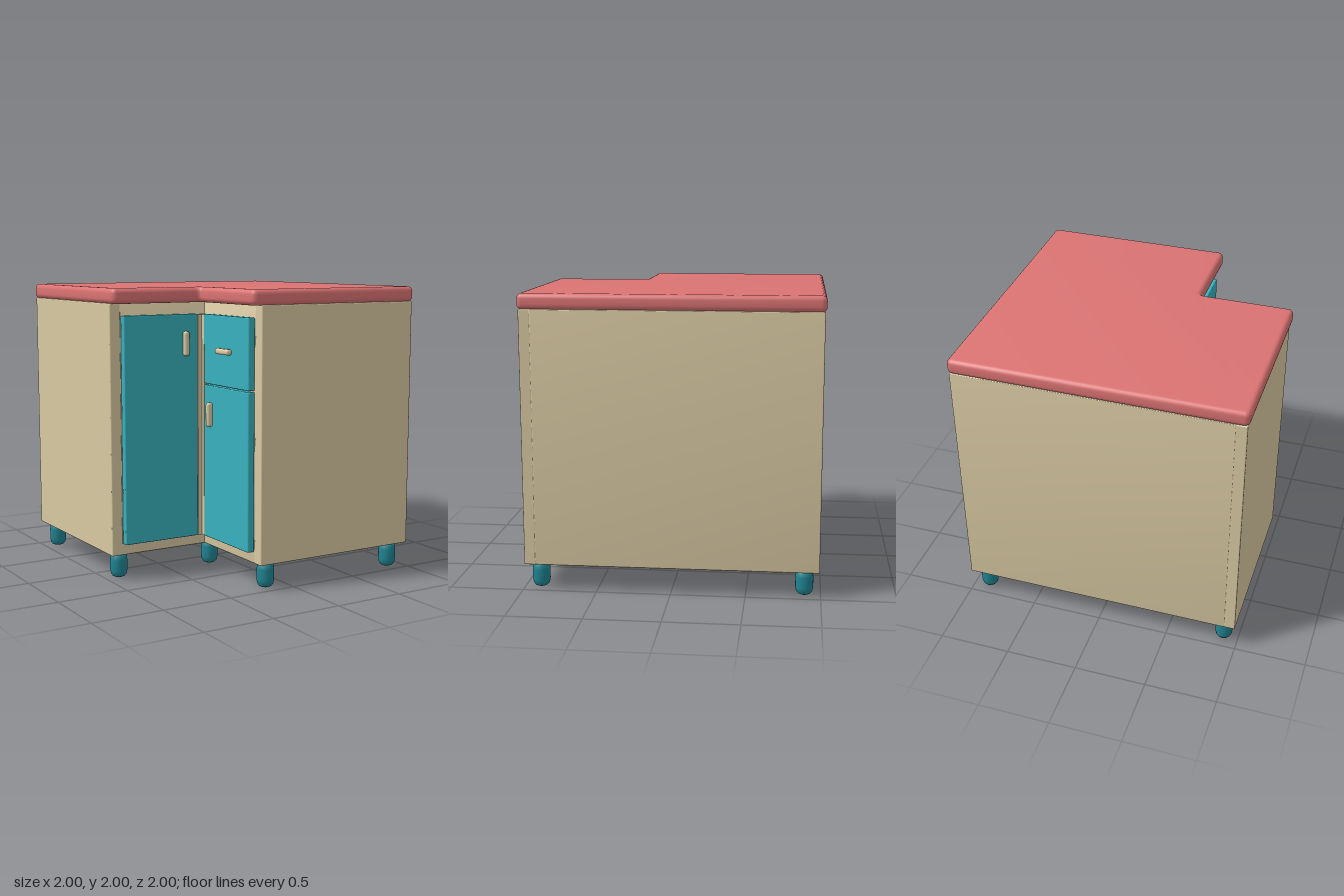
import * as THREE from 'three';
import { toCreasedNormals } from 'three/addons/utils/BufferGeometryUtils.js';
import { RoundedBoxGeometry } from 'three/addons/geometries/RoundedBoxGeometry.js';

const paint = (name, color) => {
  const m = new THREE.MeshStandardMaterial({ color });
  m.name = name;
  return m;
};

// L-shaped slab with softened edges; the notch is at the front on the -x side
function lSlab({ x0, x1, z0, z1, nx, nz, y0, y1, bevel, outerR, innerR }) {
  const b = bevel;
  const pts = [[x0 + b, z0 + b], [x1 - b, z0 + b], [x1 - b, z1 - b],
    [nx + b, z1 - b], [nx + b, nz - b], [x0 + b, nz - b]].map(p => new THREE.Vector2(...p));
  const shape = new THREE.Shape();
  pts.forEach((p, i) => {
    const r = i === 4 ? innerR : outerR;
    const toward = q => p.clone().add(q.clone().sub(p).setLength(r));
    const start = toward(pts[(i + 5) % 6]);
    const end = toward(pts[(i + 1) % 6]);
    if (i === 0) shape.moveTo(start.x, start.y);
    else shape.lineTo(start.x, start.y);
    shape.quadraticCurveTo(p.x, p.y, end.x, end.y);
  });
  shape.closePath();
  const geo = new THREE.ExtrudeGeometry(shape, {
    depth: y1 - y0 - 2 * b, bevelEnabled: true, bevelSize: b, bevelThickness: b,
    bevelSegments: 5, curveSegments: 6,
  });
  geo.rotateX(Math.PI / 2).translate(0, y1 - b, 0);
  return toCreasedNormals(geo, 0.7);
}

export function createModel() {
  const group = new THREE.Group();
  const cream = paint('cream', 0xd9c9a3);
  const teal = paint('teal', 0x38b0bd);
  const darkTeal = paint('dark teal', 0x1f8492);
  const red = paint('coral red', 0xdb7373);

  const add = (name, geo, mat) => {
    const mesh = new THREE.Mesh(geo, mat);
    mesh.name = name;
    group.add(mesh);
    return mesh;
  };
  // Rounded box given by its extents on each axis
  const block = (name, mat, [xa, xb], [ya, yb], [za, zb], radius) => {
    const geo = new RoundedBoxGeometry(xb - xa, yb - ya, zb - za, 3, radius);
    add(name, geo, mat).position.set((xa + xb) / 2, (ya + yb) / 2, (za + zb) / 2);
  };

  // Worktop
  add('worktop', lSlab({ x0: -1, x1: 1, z0: -1, z1: 1, nx: -0.335, nz: 0.33,
    y0: 1.895, y1: 2, bevel: 0.033, outerR: 0.006, innerR: 0.07 }), red);

  // Carcass and the two end panels
  add('carcass', lSlab({ x0: -0.92, x1: 0.99, z0: -0.99, z1: 0.92, nx: -0.257, nz: 0.257,
    y0: 0.175, y1: 1.898, bevel: 0.006, outerR: 0.003, innerR: 0.003 }), cream);
  const height = [0.175, 1.898];
  block('frontEndPanel', cream, [-0.26, 0.99], height, [0.91, 0.99], 0.008);
  block('sideEndPanel', cream, [-0.99, -0.91], height, [-0.99, 0.26], 0.008);

  // Filler in the inner corner
  block('cornerFiller', cream, [-0.34, -0.25], [0.255, 1.812], [0.25, 0.309], 0.004);
  block('cornerFillerReturn', cream, [-0.309, -0.25], [0.255, 1.812], [0.25, 0.34], 0.004);

  // Doors and drawer
  block('frontDoor', teal, [-0.91, -0.342], [0.255, 1.815], [0.26, 0.312], 0.008);
  block('sideDoor', teal, [-0.312, -0.26], [0.255, 1.328], [0.342, 0.91], 0.008);
  block('drawerFront', teal, [-0.312, -0.26], [1.337, 1.815], [0.342, 0.91], 0.008);

  // Handles
  block('frontDoorHandle', cream, [-0.463, -0.423], [1.53, 1.7], [0.305, 0.348], 0.017);
  block('sideDoorHandle', cream, [-0.351, -0.305], [1.045, 1.213], [0.42, 0.46], 0.017);
  block('drawerHandle', cream, [-0.351, -0.305], [1.556, 1.596], [0.54, 0.705], 0.017);

  // Rounded feet
  const profile = [[0, 0], [0.025, 0.001], [0.043, 0.009], [0.055, 0.026], [0.06, 0.052],
    [0.06, 0.125], [0.056, 0.15], [0.045, 0.17], [0.028, 0.178], [0, 0.18]];
  const footGeo = new THREE.LatheGeometry(profile.map(p => new THREE.Vector2(...p)), 24);
  [[-0.895, -0.89], [0.89, -0.89], [0.89, 0.895], [-0.16, 0.895], [-0.16, 0.16], [-0.895, 0.16]]
    .forEach(([x, z]) => add('foot', footGeo, darkTeal).position.set(x, 0, z));

  return group;
}
